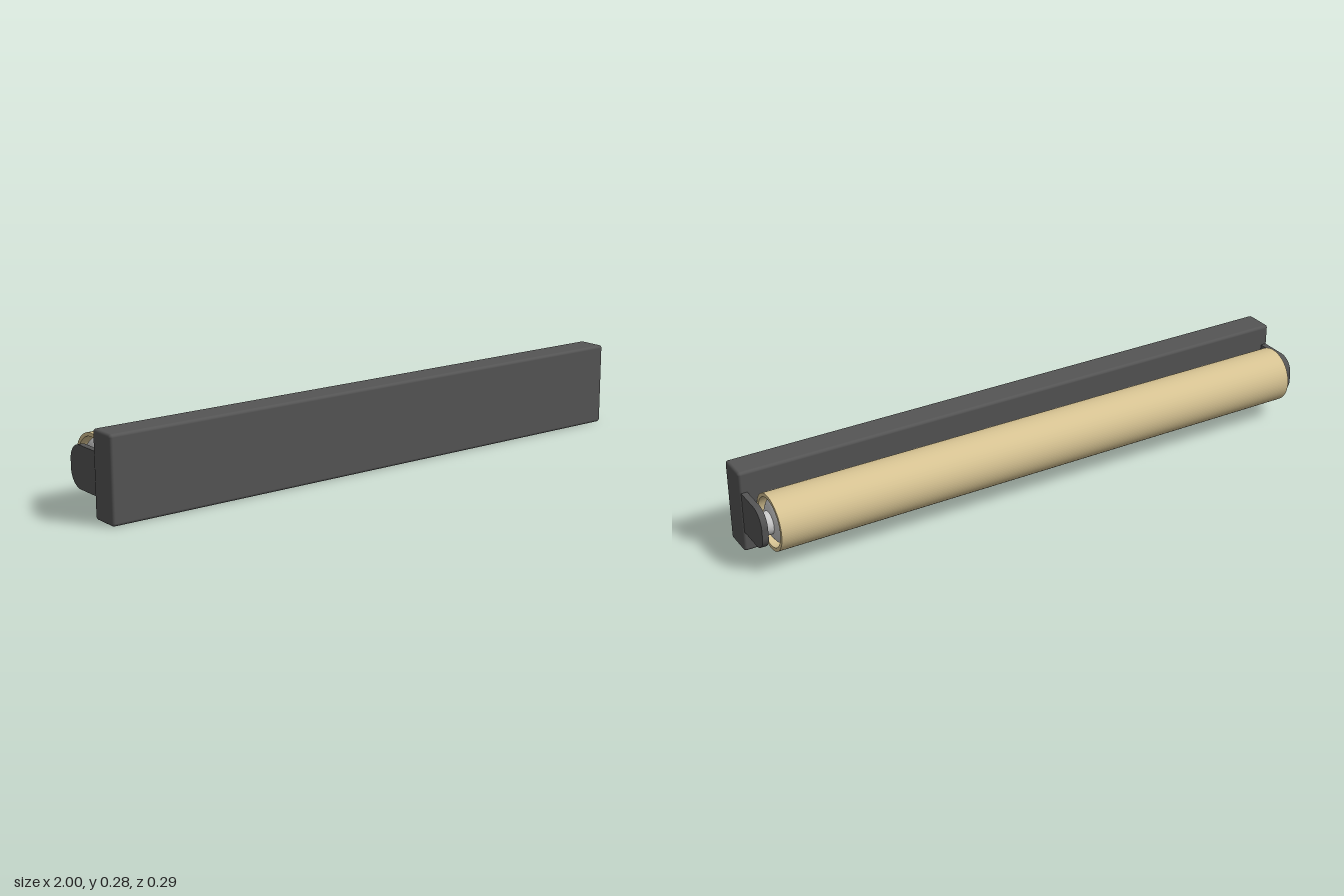
import * as THREE from 'three';
import { RoundedBoxGeometry } from 'three/addons/geometries/RoundedBoxGeometry.js';

const AXIS_Y = 0.143, AXIS_Z = -0.052;

export function createModel() {
  const group = new THREE.Group();
  const dark = new THREE.MeshStandardMaterial({ color: 0x555555 });
  const cream = new THREE.MeshStandardMaterial({ color: 0xd9c594 });
  const grey = new THREE.MeshStandardMaterial({ color: 0xcccccc });

  const add = (name, geometry, material) => {
    const mesh = new THREE.Mesh(geometry, material);
    mesh.name = name;
    group.add(mesh);
    return mesh;
  };

  // Front fascia board with softened edges
  add('fascia', new RoundedBoxGeometry(2, 0.277, 0.1, 3, 0.01), dark).position.set(0, 0.1385, 0.095);

  // Fabric roll: a thick tube lying along x
  const ring = new THREE.Shape().absarc(0, 0, 0.092, 0, Math.PI * 2);
  ring.holes.push(new THREE.Path().absarc(0, 0, 0.08, 0, Math.PI * 2, true));
  const tube = new THREE.ExtrudeGeometry(ring, { depth: 1.9, bevelEnabled: false, curveSegments: 48 });
  tube.translate(0, 0, -0.95).rotateY(Math.PI / 2);
  add('fabricRoll', tube, cream).position.set(0, AXIS_Y, AXIS_Z);

  // Domed plug with a short pin, as a profile of radius and x
  const plugProfile = [
    [0.08, 0.88], [0.08, 0.905], [0.077, 0.92], [0.068, 0.934], [0.054, 0.944], [0.037, 0.95],
    [0.037, 0.95], [0.037, 0.968], [0.033, 0.975], [0, 0.975],
  ].map(([r, x]) => new THREE.Vector2(r, x));

  // Bracket outline: square at the board, rounded at the back (u runs backwards)
  const u0 = -0.05, u1 = 0.1, y0 = 0.07, y1 = 0.207, r = 0.055;
  const outline = new THREE.Shape();
  outline.moveTo(u0, y0);
  outline.lineTo(u1 - r, y0);
  outline.absarc(u1 - r, y0 + r, r, -Math.PI / 2, 0);
  outline.absarc(u1 - r, y1 - r, r, 0, Math.PI / 2);
  outline.lineTo(u0, y1);

  for (const side of [1, -1]) {
    const label = side > 0 ? 'left' : 'right';

    const plug = add(label + 'EndPlug', new THREE.LatheGeometry(plugProfile, 48), grey);
    plug.rotation.z = -side * Math.PI / 2;
    plug.position.set(0, AXIS_Y, AXIS_Z);

    const plate = new THREE.ExtrudeGeometry(outline, { depth: 0.02, bevelEnabled: false, curveSegments: 16 });
    plate.translate(0, 0, -0.01).rotateY(Math.PI / 2);
    add(label + 'Bracket', plate, dark).position.x = side * 0.984;
  }
  return group;
}
